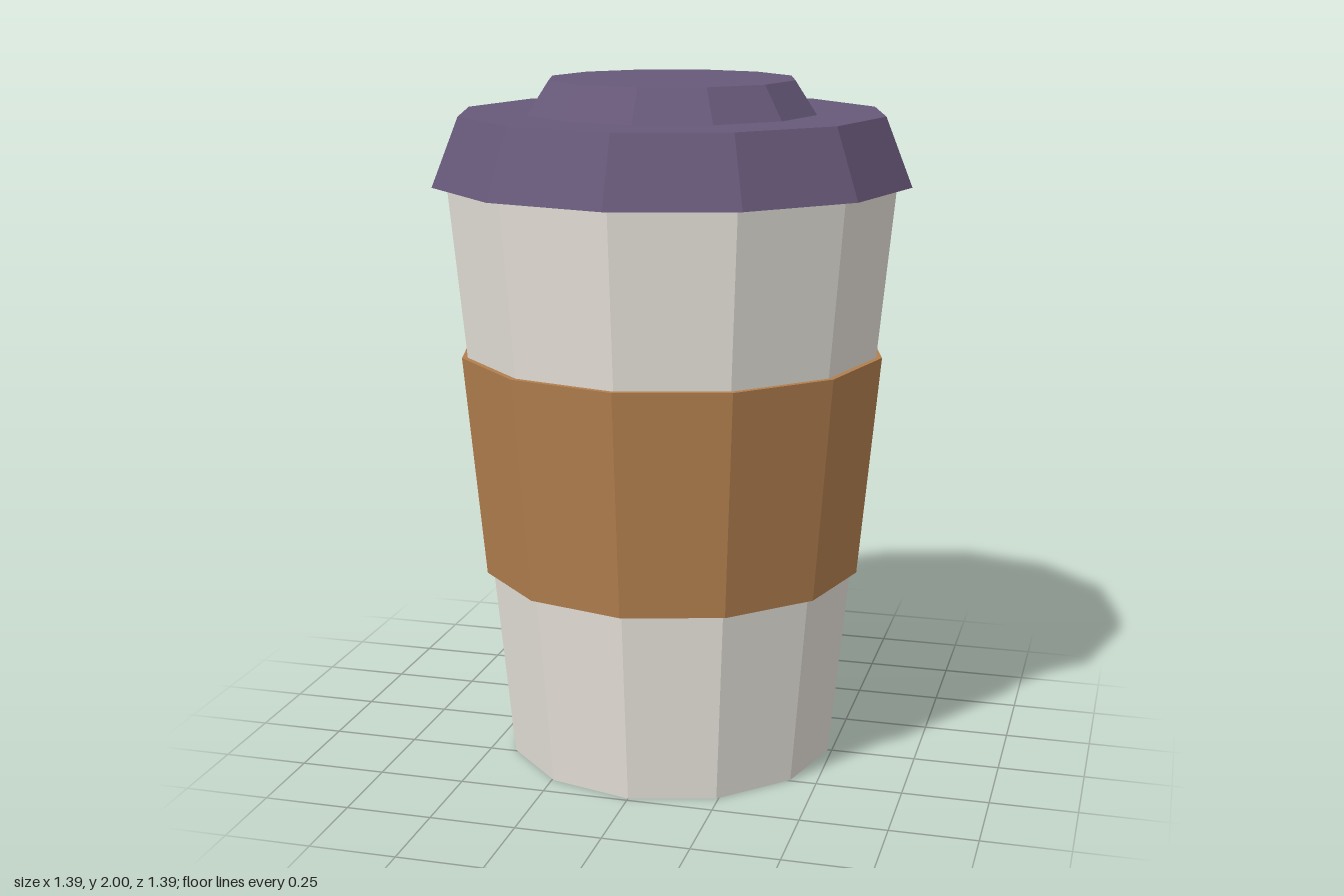
import * as THREE from 'three';

const SIDES = 12;

function flatColor(name, color) {
  const material = new THREE.MeshStandardMaterial({ color, flatShading: true });
  material.name = name;
  return material;
}

export function createModel() {
  const paper = flatColor('warm white paper', 0xe8e4db);
  const cardboard = flatColor('brown cardboard', 0xb27f4e);
  const plastic = flatColor('purple plastic', 0x675879);

  const model = new THREE.Group();
  model.name = 'takeawayCup';

  // Tapered twelve-sided section standing between two heights
  function section(name, material, bottomRadius, topRadius, y0, y1) {
    const geometry = new THREE.CylinderGeometry(topRadius, bottomRadius, y1 - y0, SIDES);
    geometry.translate(0, (y0 + y1) / 2, 0);
    const mesh = new THREE.Mesh(geometry, material);
    mesh.name = name;
    model.add(mesh);
  }

  // Cup body and the sleeve wrapped around it
  section('cupBody', paper, 0.488, 0.652, 0, 1.71);
  section('sleeve', cardboard, 0.562, 0.622, 0.57, 1.22);

  // Stepped lid: wide rim with a smaller raised top
  section('lidRim', plastic, 0.695, 0.617, 1.71, 1.905);
  section('lidTop', plastic, 0.421, 0.358, 1.905, 2);

  return model;
}
